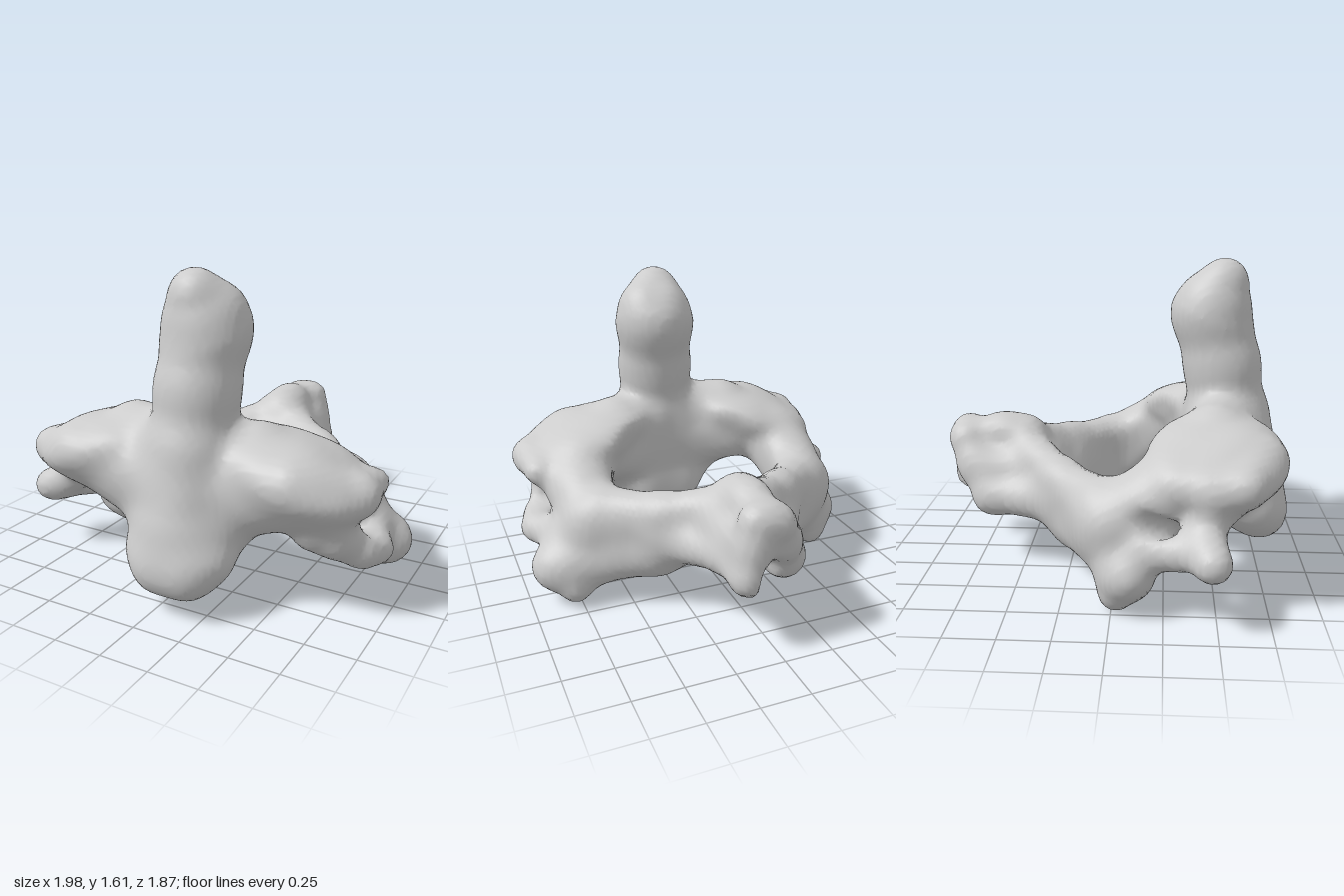
import * as THREE from 'three';

// Signed distance helpers: tapered rod, tilted ellipsoid, smooth blend.
const rod = (ax, ay, az, ar, bx, by, bz, br) => {
  const dx = bx - ax, dy = by - ay, dz = bz - az;
  const len2 = dx * dx + dy * dy + dz * dz;
  return (x, y, z) => {
    const px = x - ax, py = y - ay, pz = z - az;
    const t = Math.min(1, Math.max(0, (px * dx + py * dy + pz * dz) / len2));
    const ex = px - t * dx, ey = py - t * dy, ez = pz - t * dz;
    return Math.sqrt(ex * ex + ey * ey + ez * ez) - ar - t * (br - ar);
  };
};
const chain = (...pts) => pts.slice(1).map((p, i) => rod(...pts[i], ...p));
const ball = (cx, cy, cz, rx, ry, rz, tilt = 0) => {
  const c = Math.cos(tilt), s = Math.sin(tilt);
  return (x, y, z) => {
    const px = x - cx, py = y - cy;
    const u = (px * c + py * s) / rx, v = (py * c - px * s) / ry, w = (z - cz) / rz;
    const k0 = Math.sqrt(u * u + v * v + w * w);
    const k1 = Math.sqrt((u / rx) ** 2 + (v / ry) ** 2 + (w / rz) ** 2);
    return k1 < 1e-6 ? -Math.min(rx, ry, rz) : k0 * (k0 - 1) / k1;
  };
};
const blend = (a, b, k) => {
  const h = Math.max(k - Math.abs(a - b), 0) / k;
  return Math.min(a, b) - h * h * k / 4;
};

// Upright peg with a fuller left shoulder
const peg = [
  ...chain([0.09, 0.8, 0.58, 0.2], [0.095, 1.06, 0.55, 0.19],
    [0.11, 1.33, 0.49, 0.2], [0.09, 1.5, 0.55, 0.125]),
  rod(0.1, 1.4, 0.48, 0.15, 0.18, 1.43, 0.48, 0.11),
];

// Central body with its lower front lip, and the webs out to the joints
const body = [
  ball(0.08, 0.4, 0.59, 0.3, 0.2, 0.24),
  ball(0.09, 0.3, 0.73, 0.28, 0.18, 0.19),
  rod(0.02, 0.23, 0.79, 0.12, 0.16, 0.23, 0.79, 0.12),
  rod(0, 0.34, 0.47, 0.12, 0.16, 0.34, 0.47, 0.12),
  rod(0.08, 0.76, 0.59, 0.22, 0.08, 0.45, 0.66, 0.23),
  rod(0, 0.5, 0.6, 0.2, -0.5, 0.65, 0.57, 0.17),
  rod(0.15, 0.5, 0.57, 0.19, 0.6, 0.63, 0.5, 0.17),
  rod(0, 0.64, 0.63, 0.17, -0.48, 0.69, 0.65, 0.14),
  rod(0.16, 0.64, 0.57, 0.17, 0.6, 0.67, 0.56, 0.14),
  ...chain([-0.42, 0.62, 0.4, 0.14], [0.08, 0.62, 0.5, 0.15], [0.5, 0.6, 0.4, 0.14]),
];

// Upper joint surfaces on sloping pillars, with raised outer rims
const upperJoints = [
  ball(-0.47, 0.71, 0.5, 0.36, 0.15, 0.34, 0.3),
  ball(0.57, 0.7, 0.44, 0.38, 0.15, 0.31, -0.3),
  rod(-0.29, 0.81, 0.5, 0.12, -0.05, 0.76, 0.55, 0.17),
  rod(0.36, 0.78, 0.46, 0.12, 0.2, 0.74, 0.51, 0.17),
  rod(-0.54, 0.62, 0.5, 0.15, -0.6, 0.5, 0.2, 0.16),
  rod(0.6, 0.6, 0.48, 0.15, 0.66, 0.5, 0.18, 0.16),
  rod(0.74, 0.6, 0.52, 0.1, 0.78, 0.42, 0.43, 0.1),
  rod(-0.66, 0.61, 0.55, 0.1, -0.7, 0.46, 0.46, 0.08),
  rod(0.82, 0.61, 0.26, 0.07, 0.68, 0.52, 0.08, 0.11),
  ...chain([-0.52, 0.74, 0.74, 0.06], [-0.75, 0.67, 0.62, 0.06], [-0.7, 0.65, 0.3, 0.055]),
  ...chain([0.62, 0.73, 0.66, 0.06], [0.88, 0.65, 0.45, 0.06], [0.88, 0.63, 0.22, 0.05]),
];

// Rear arch: on both sides a pedicle and a tall plate leaning back to the midline
const arch = [-1, 1].flatMap((s) => {
  const X = (x) => s * x + 0.03, dz = s > 0 ? -0.03 : 0;
  return [
    ...chain([X(0.6), 0.6, 0.27, 0.16], [X(0.62), 0.44, -0.01 + dz, 0.16]),
    ...chain([X(0.55), 0.5, -0.07 + dz, 0.12], [X(0.33), 0.53, -0.28 + dz, 0.095], [0.03, 0.64, -0.54, 0.1]),
    ...chain([X(0.58), 0.42, -0.05 + dz, 0.12], [X(0.33), 0.42, -0.25 + dz, 0.105], [0.03, 0.5, -0.45, 0.12]),
    ...chain([X(0.58), 0.32, -0.05 + dz, 0.13], [X(0.33), 0.31, -0.21 + dz, 0.12], [0.03, 0.37, -0.34, 0.11]),
  ];
});

// Lower joint processes
const lowerJoints = [
  rod(-0.6, 0.38, 0.03, 0.15, -0.68, 0.2, 0.06, 0.12),
  rod(-0.54, 0.25, 0.08, 0.12, -0.74, 0.22, 0.09, 0.11),
  rod(-0.67, 0.18, 0.06, 0.11, -0.68, 0.09, 0.02, 0.08),
  rod(-0.62, 0.19, 0.04, 0.1, -0.3, 0.31, -0.18, 0.11),
  rod(0.66, 0.38, 0, 0.16, 0.8, 0.23, -0.07, 0.12),
  rod(0.68, 0.22, -0.08, 0.1, 0.87, 0.21, -0.06, 0.115),
  rod(0.8, 0.18, -0.09, 0.11, 0.78, 0.11, -0.15, 0.075),
  rod(0.74, 0.2, -0.09, 0.11, 0.36, 0.29, -0.22, 0.12),
];

// Side processes that bridge the small side openings
const sideProcesses = [
  ...chain([-0.73, 0.62, 0.46, 0.06], [-0.755, 0.44, 0.43, 0.065], [-0.91, 0.36, 0.47, 0.085]),
  ...chain([-0.84, 0.37, 0.44, 0.075], [-0.72, 0.34, 0.18, 0.1]),
  ...chain([0.66, 0.43, 0.46, 0.1], [0.86, 0.32, 0.34, 0.07], [0.9, 0.3, 0.24, 0.06], [0.78, 0.31, 0.03, 0.12]),
];

// Rear spine: top ridge, filled sides flaring from the arch, two downward prongs
const spine = [
  ...chain([0.03, 0.66, -0.52, 0.1], [0.03, 0.68, -0.64, 0.09], [0.02, 0.67, -0.83, 0.085]),
  rod(0.02, 0.48, -0.44, 0.13, 0.02, 0.52, -0.74, 0.11),
  ...chain([-0.26, 0.4, -0.31, 0.12], [-0.14, 0.38, -0.67, 0.095], [-0.03, 0.64, -0.83, 0.08]),
  ...chain([0.3, 0.4, -0.34, 0.12], [0.14, 0.44, -0.68, 0.09], [0.13, 0.41, -0.85, 0.075], [0.1, 0.68, -0.84, 0.075]),
  rod(0.14, 0.56, -0.54, 0.09, 0.1, 0.55, -0.83, 0.075),
  rod(-0.1, 0.52, -0.48, 0.1, -0.07, 0.52, -0.77, 0.09),
];

// Openings: main canal, side openings, hollow between the prongs
const openings = [
  ball(0.035, 0.4, 0.07, 0.47, 0.8, 0.29),
  rod(-0.57, 0.3, 0.54, 0.045, -0.83, 0.54, 0.08, 0.055),
  rod(0.76, 0.46, 0.31, 0.05, 1.05, 0.46, 0.29, 0.07),
  rod(0, 0.4, -1, 0.11, 0.01, 0.35, -0.72, 0.06),
];

const solids = [...peg, ...body, ...upperJoints, ...arch, ...lowerJoints, ...sideProcesses, ...spine];
const field = (x, y, z) => {
  let d = 1e3;
  for (const f of solids) d = blend(d, f(x, y, z), 0.08);
  for (const f of openings) d = -blend(-d, f(x, y, z), 0.04);
  return d;
};

// Wrap the field in a smooth skin: one vertex per crossed cell, one quad per crossed edge.
function skin(min, max, step) {
  const n = min.map((m, i) => Math.ceil((max[i] - m) / step) + 1);
  const stride = [1, n[0], n[0] * n[1]];
  const val = new Float32Array(n[0] * n[1] * n[2]);
  const cell = new Int32Array(val.length).fill(-1);
  const each = (lo, fn) => {
    for (let k = lo; k < n[2] - 1; k++)
      for (let j = lo; j < n[1] - 1; j++)
        for (let i = lo; i < n[0] - 1; i++) fn([i, j, k], i + j * stride[1] + k * stride[2]);
  };
  for (let k = 0, q = 0; k < n[2]; k++)
    for (let j = 0; j < n[1]; j++)
      for (let i = 0; i < n[0]; i++)
        val[q++] = field(min[0] + i * step, min[1] + j * step, min[2] + k * step);

  const pos = [], index = [];
  each(0, (c, q) => {
    const sum = [0, 0, 0];
    let count = 0;
    for (let corner = 0; corner < 8; corner++) {
      const o = [corner & 1, (corner >> 1) & 1, corner >> 2];
      const a = q + o[0] + o[1] * stride[1] + o[2] * stride[2];
      for (let ax = 0; ax < 3; ax++) {
        if (o[ax]) continue;
        const va = val[a], vb = val[a + stride[ax]];
        if (va < 0 === vb < 0) continue;
        for (let m = 0; m < 3; m++) sum[m] += o[m] + (m === ax ? va / (va - vb) : 0);
        count++;
      }
    }
    if (!count) return;
    cell[q] = pos.length / 3;
    for (let m = 0; m < 3; m++) pos.push(min[m] + (c[m] + sum[m] / count) * step);
  });
  each(1, (c, q) => {
    for (let ax = 0; ax < 3; ax++) {
      const inside = val[q] < 0;
      if (inside === val[q + stride[ax]] < 0) continue;
      const u = stride[(ax + 1) % 3], v = stride[(ax + 2) % 3];
      const [a, b, d, e] = [cell[q - u - v], cell[q - v], cell[q], cell[q - u]];
      if (inside) index.push(a, b, d, a, d, e);
      else index.push(a, d, b, a, e, d);
    }
  });
  const geo = new THREE.BufferGeometry();
  geo.setAttribute('position', new THREE.Float32BufferAttribute(pos, 3));
  geo.setIndex(index);
  geo.computeVertexNormals();
  return geo;
}

export function createModel() {
  const group = new THREE.Group();
  group.name = 'vertebra';
  const bone = new THREE.MeshStandardMaterial({ color: 0xcccccc });
  bone.name = 'bone grey';
  const mesh = new THREE.Mesh(skin([-1.15, -0.12, -1.1], [1.15, 1.78, 1.1], 0.025), bone);
  mesh.name = 'fusedBone';
  group.add(mesh);
  return group;
}
